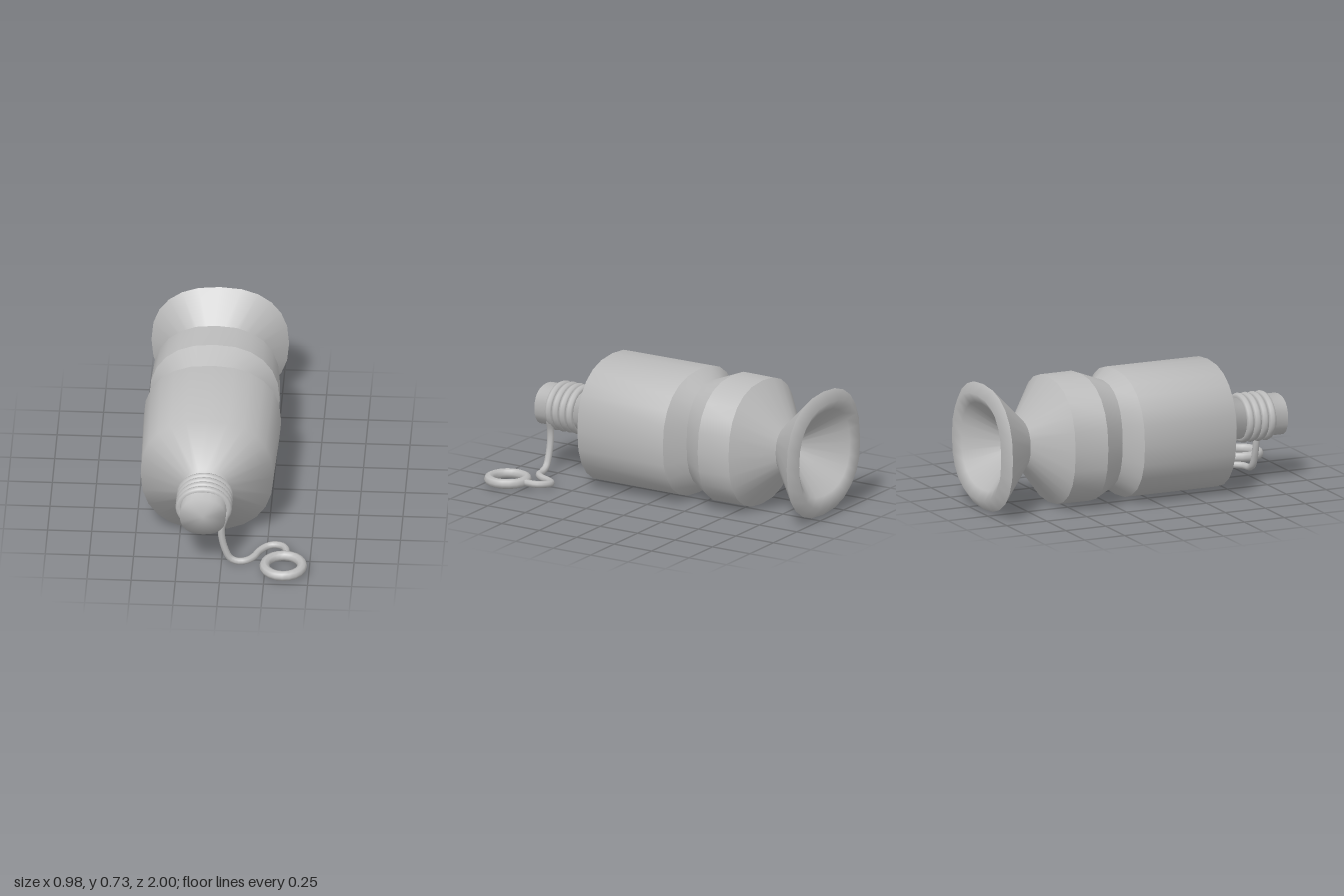
import * as THREE from 'three';

const CX = -0.1, CY = 0.368;
const SIDES = 24;

// Skins a run of slightly squared oval sections [z, rx, ry], listed along the profile
function loft(sections) {
  const positions = [], index = [];
  const bulge = (v) => Math.sign(v) * Math.pow(Math.abs(v), 2 / 2.35);
  sections.forEach(([z, rx, ry], i) => {
    for (let j = 0; j < SIDES; j++) {
      const a = (j / SIDES) * Math.PI * 2;
      positions.push(CX + rx * bulge(Math.cos(a)), CY + ry * bulge(Math.sin(a)), z);
      if (i === sections.length - 1) continue;
      const p = i * SIDES + j, q = i * SIDES + ((j + 1) % SIDES);
      index.push(p, p + SIDES, q, q, p + SIDES, q + SIDES);
    }
  });
  const geometry = new THREE.BufferGeometry();
  geometry.setAttribute('position', new THREE.Float32BufferAttribute(positions, 3));
  geometry.setIndex(index);
  geometry.computeVertexNormals();
  return geometry;
}

export function createModel() {
  const group = new THREE.Group();
  const grey = new THREE.MeshStandardMaterial({ color: 0xbcbcbc });
  grey.name = 'plain grey';

  function add(name, geometry) {
    const mesh = new THREE.Mesh(geometry, grey);
    mesh.name = name;
    group.add(mesh);
    return mesh;
  }

  // Sections shared by neighbouring parts, from front to back
  const shoulder = [0.45, 0.375, 0.364];
  const bodyBack = [-0.13, 0.39, 0.364];
  const groove = [-0.21, 0.265, 0.31];
  const bandFront = [-0.35, 0.37, 0.364];
  const bandBack = [-0.55, 0.36, 0.364];
  const waist = [-0.73, 0.145, 0.14];
  const lip = [-0.957, 0.39, 0.364];

  // Bottle: smooth within each part, creased between parts
  add('neckAndBody', loft([
    [0.89, 0, 0], [0.89, 0.13, 0.116], [0.57, 0.13, 0.116], shoulder, bodyBack,
  ]));
  add('grooveFront', loft([bodyBack, groove]));
  add('grooveBack', loft([groove, bandFront]));
  add('band', loft([bandFront, bandBack]));
  add('taper', loft([bandBack, waist]));
  add('flare', loft([waist, lip]));
  add('rimAndFunnel', loft([
    lip, [-1, 0.325, 0.305], [-0.965, 0.27, 0.25], [-0.76, 0.06, 0.055], [-0.75, 0, 0],
  ]));

  // Cord wound around the neck
  for (let i = 0; i < 4; i++) {
    const points = [];
    for (let j = 0; j < 14; j++) {
      const a = (j / 14) * Math.PI * 2;
      points.push(new THREE.Vector3(CX + 0.138 * Math.cos(a), CY + 0.119 * Math.sin(a), 0.79 - i * 0.046));
    }
    const path = new THREE.CatmullRomCurve3(points, true);
    add('cordTurn', new THREE.TubeGeometry(path, 28, 0.023, 8, true));
  }

  // Loose end of the cord, hanging down and curling to the pull ring
  const cord = new THREE.CatmullRomCurve3([
    [0.038, 0.37, 0.79], [0.022, 0.31, 0.795], [0.003, 0.25, 0.8], [0.002, 0.19, 0.8],
    [0.022, 0.1, 0.8], [0.05, 0.042, 0.8], [0.09, 0.022, 0.8], [0.14, 0.021, 0.79],
    [0.18, 0.021, 0.75], [0.21, 0.021, 0.685], [0.25, 0.024, 0.64], [0.29, 0.03, 0.63],
    [0.34, 0.035, 0.65], [0.362, 0.038, 0.69], [0.365, 0.04, 0.75],
  ].map((p) => new THREE.Vector3(...p)));
  add('cordEnd', new THREE.TubeGeometry(cord, 40, 0.02, 8));

  const ring = add('pullRing', new THREE.TorusGeometry(0.107, 0.029, 8, 20));
  ring.rotation.x = Math.PI / 2;
  ring.position.set(0.355, 0.04, 0.864);

  return group;
}
